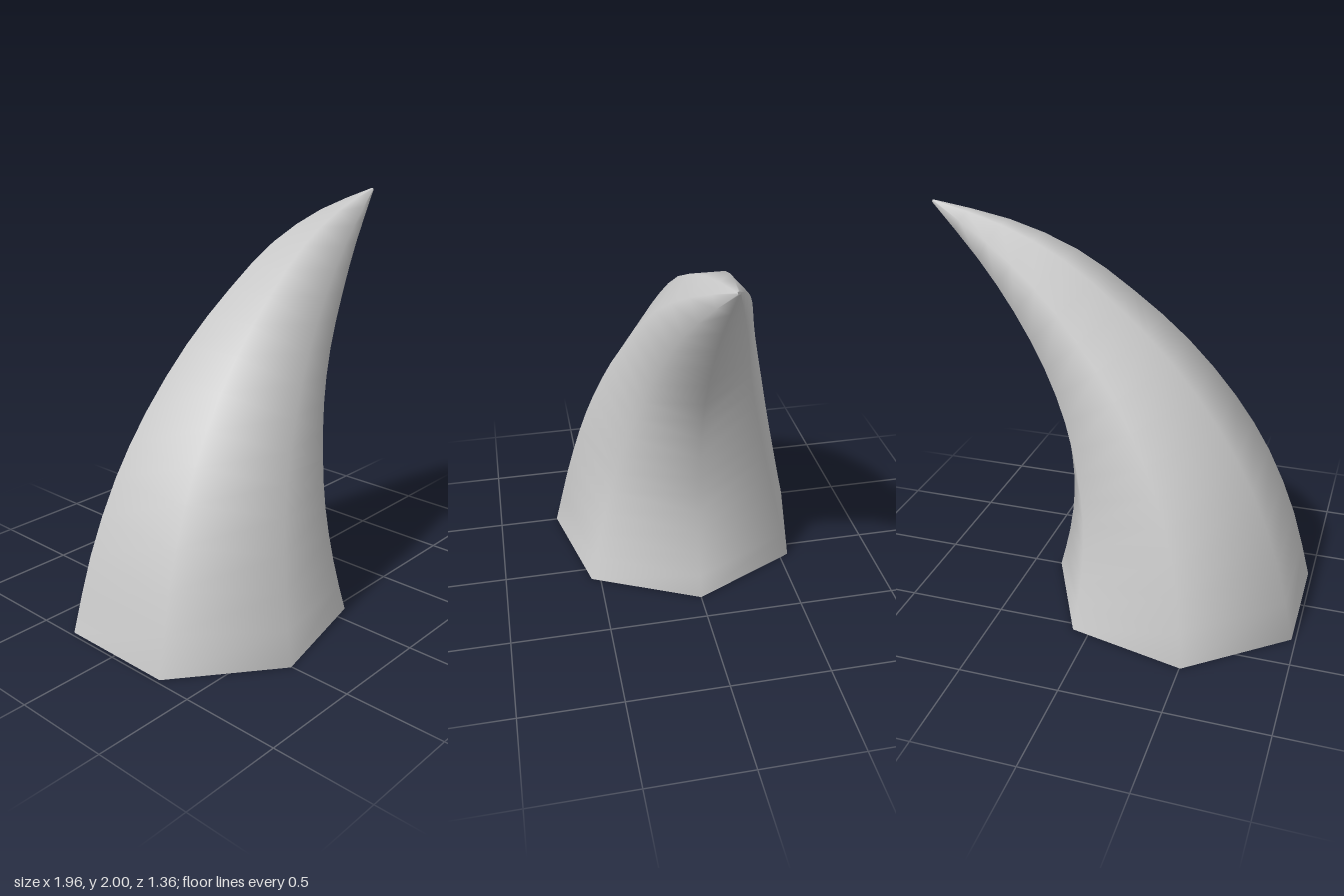
import * as THREE from 'three';

const SIDES = 7, STEPS = 16;

// Matching points along the outer (convex) and inner (concave) edges of the horn
const toCurve = (pts) => new THREE.CatmullRomCurve3(pts.map(([x, y]) => new THREE.Vector3(x, y, 0)));
const outer = toCurve([[-0.98, 0], [-0.88, 0.39], [-0.73, 0.76], [-0.545, 1.06], [-0.3, 1.35],
  [-0.03, 1.585], [0.26, 1.785], [0.59, 1.918], [0.97, 2]]);
const inner = toCurve([[0.35, 0], [0.293, 0.232], [0.262, 0.48], [0.272, 0.7], [0.315, 0.95],
  [0.4, 1.192], [0.545, 1.46], [0.725, 1.71], [0.976, 1.988]]);

// Seven-sided rings, one corner on the inner edge and one flat on the outer edge
function hornGeometry() {
  const flat = Math.cos(Math.PI / SIDES);
  const positions = [], index = [];
  for (let i = 0; i <= STEPS; i++) {
    const tip = inner.getPoint(i / STEPS);
    const across = tip.clone().sub(outer.getPoint(i / STEPS));
    const r = across.length() / (1 + flat);
    across.normalize();
    const centre = tip.addScaledVector(across, -r);
    for (let j = 0; j < SIDES; j++) {
      const a = (j / SIDES) * Math.PI * 2;
      const c = r * Math.cos(a);
      positions.push(centre.x + across.x * c, centre.y + across.y * c, r * Math.sin(a));
      if (i < STEPS) {
        const p = i * SIDES + j, q = i * SIDES + (j + 1) % SIDES;
        index.push(p, p + SIDES, q, q, p + SIDES, q + SIDES);
      }
    }
  }
  const geometry = new THREE.BufferGeometry();
  geometry.setAttribute('position', new THREE.Float32BufferAttribute(positions, 3));
  geometry.setIndex(index);
  geometry.computeVertexNormals();
  return geometry;
}

export function createModel() {
  const group = new THREE.Group();
  group.name = 'curvedHorn';
  // Open at the base, so the hollow inside shows
  const material = new THREE.MeshStandardMaterial({ color: 0xcccccc, side: THREE.DoubleSide });
  material.name = 'light grey';
  const horn = new THREE.Mesh(hornGeometry(), material);
  horn.name = 'horn';
  group.add(horn);
  return group;
}
